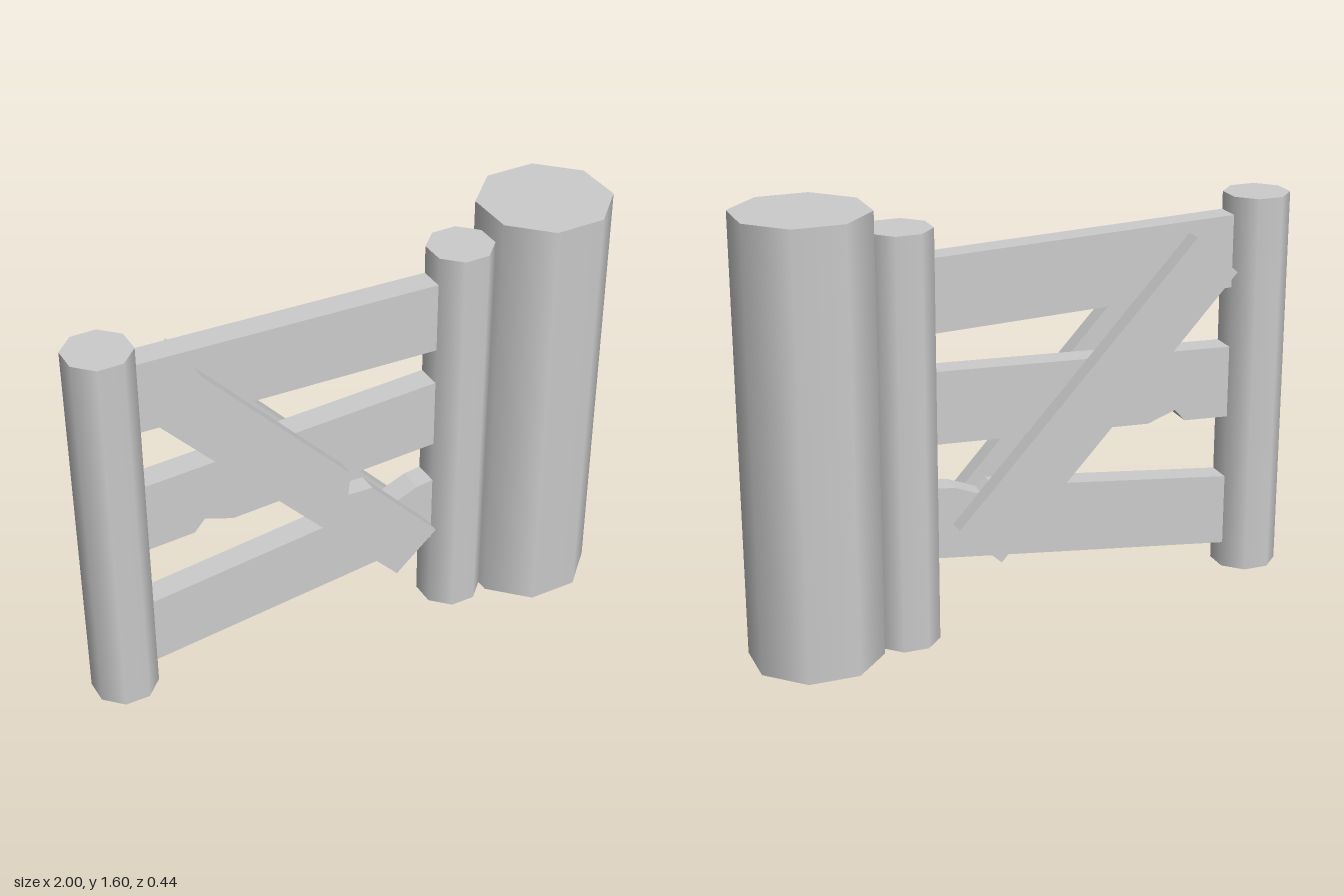
import * as THREE from 'three';

const wood = new THREE.MeshStandardMaterial({ color: 0xcccccc });
wood.name = 'plain grey wood';

// Eight-sided post with flat sides facing front and side, smooth round the trunk
function post(name, x, apothem, y0, y1) {
  const r = apothem / Math.cos(Math.PI / 8);
  const geo = new THREE.CylinderGeometry(r, r, y1 - y0, 8, 1, false, Math.PI / 8);
  const mesh = new THREE.Mesh(geo, wood);
  mesh.name = name;
  mesh.position.set(x, (y0 + y1) / 2, 0);
  return mesh;
}

// Plank cut from an outline in the x-y plane, between two depths
function plank(name, outline, z0, z1) {
  const shape = new THREE.Shape(outline.map(([x, y]) => new THREE.Vector2(x, y)));
  const geo = new THREE.ExtrudeGeometry(shape, { depth: z1 - z0, bevelEnabled: false });
  geo.translate(0, 0, z0);
  const mesh = new THREE.Mesh(geo, wood);
  mesh.name = name;
  return mesh;
}

export function createModel() {
  const gate = new THREE.Group();
  gate.name = 'woodenGate';

  // Posts
  gate.add(
    post('largePost', 0.778, 0.222, 0, 1.6),
    post('hingePost', 0.445, 0.111, 0, 1.51),
    post('latchPost', -0.89, 0.11, 0.095, 1.51),
  );

  // Crooked rails, two of them chipped
  const L = -0.782, R = 0.336, T = 0.046;
  gate.add(
    plank('topRail', [[L, 1.18], [R, 1.14], [R, 1.405], [L, 1.445]], -T, T),
    plank('middleRail', [
      [L, 0.69], [-0.61, 0.698], [-0.57, 0.743], [-0.465, 0.705],
      [R, 0.738], [R, 1.003], [L, 0.957],
    ], -T, T),
    plank('bottomRail', [
      [L, 0.19], [R, 0.31], [R, 0.575], [0.27, 0.567],
      [0.165, 0.525], [0.125, 0.553], [L, 0.455],
    ], -T, T),
  );

  // Diagonal braces: the back one is the front one turned half round
  const brace = [
    [-0.745, 1.24], [0.142, 0.275], [0.302, 0.417], [0.035, 0.709],
    [-0.061, 0.713], [-0.051, 0.803], [-0.59, 1.385],
  ];
  const cx = -0.233, cy = 0.836;
  gate.add(
    plank('frontBrace', brace, 0.063, 0.132),
    plank('backBrace', brace.map(([x, y]) => [2 * cx - x, 2 * cy - y]), -0.113, -0.045),
  );
  return gate;
}
